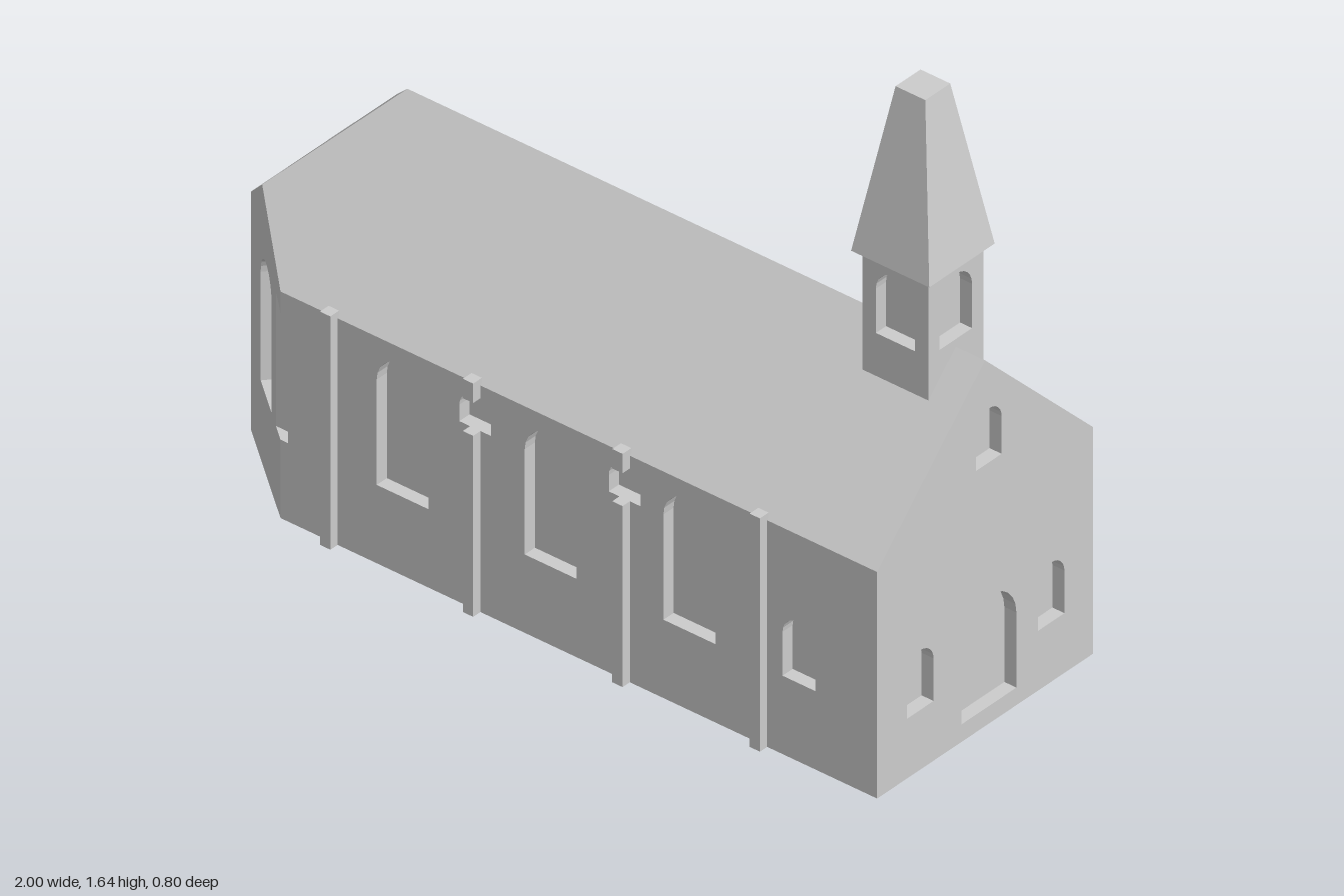
import * as THREE from 'three';
import { mergeGeometries } from 'three/addons/utils/BufferGeometryUtils.js';

const stone = new THREE.MeshStandardMaterial({ color: 0xcccccc, side: THREE.DoubleSide, flatShading: true });
stone.name = 'pale grey stone';

const DEPTH = 0.035;                 // how far niches sink into the walls
const W = 0.373, EAVE = 0.607, RIDGE = 0.98;
const CORNER = -0.725, END_Z = 0.147; // where the angled end begins, half width of the end wall
const V = (x, y, z) => new THREE.Vector3(x, y, z);

function add(group, name, geometry) {
  const mesh = new THREE.Mesh(geometry, stone);
  mesh.name = name;
  group.add(mesh);
  return mesh;
}

// Convex flat polygon as a triangle fan
function polygon(points) {
  const tris = [];
  for (let i = 1; i < points.length - 1; i++) tris.push(points[0], points[i], points[i + 1]);
  const g = new THREE.BufferGeometry().setFromPoints(tris);
  g.computeVertexNormals();
  return g;
}

// Closed band joining two matching loops
function band(a, b) {
  const quads = a.map((p, i) => {
    const j = (i + 1) % a.length;
    return polygon([p, a[j], b[j], b[i]]);
  });
  return mergeGeometries(quads);
}

// Round-headed opening outline: centre, width, bottom, top
function arch(c, w, y0, y1) {
  const r = w / 2, n = 12, pts = [[c - r, y0], [c + r, y0]];
  for (let i = 0; i <= n; i++) {
    const t = (i / n) * Math.PI;
    pts.push([c + r * Math.cos(t), y1 - r + r * Math.sin(t)]);
  }
  return pts;
}

const shapeOf = pts => new THREE.Shape(pts.map(([u, v]) => new THREE.Vector2(u, v)));

// Upright wall with sunken niches; u runs along "dir", v is up
function wall(group, name, origin, dir, outline, niches = []) {
  const normal = V(-dir.z, 0, dir.x);
  const frame = new THREE.Matrix4().makeBasis(dir, V(0, 1, 0), normal).setPosition(origin);
  const face = shapeOf(outline);
  niches.forEach(n => face.holes.push(shapeOf(n)));
  add(group, name, new THREE.ShapeGeometry(face).applyMatrix4(frame));
  niches.forEach(n => {
    add(group, name + 'NicheBack', new THREE.ShapeGeometry(shapeOf(n)).translate(0, 0, -DEPTH).applyMatrix4(frame));
    const at = d => n.map(([u, v]) => V(u, v, d).applyMatrix4(frame));
    add(group, name + 'NicheReveal', band(at(0), at(-DEPTH)));
  });
}

// Square tapered block standing between two heights
function taper(r0, r1, y0, y1) {
  return new THREE.CylinderGeometry(r1 * Math.SQRT2, r0 * Math.SQRT2, y1 - y0, 4)
    .rotateY(Math.PI / 4).translate(0, (y0 + y1) / 2, 0);
}

export function createModel() {
  const model = new THREE.Group();
  model.name = 'chapel';

  const run = CORNER + 1, drop = W - END_Z, len = Math.hypot(run, drop);
  const notchX = CORNER - DEPTH * run / drop;     // where the corner niche meets the angled wall
  const notchU = -DEPTH * len / drop;
  const nc = -0.778, nr = 0.075, ny = 0.492, sill = 0.21;
  const angle = x => Math.acos((x - nc) / nr);
  // Arc of the corner niche between two x positions
  const arc = (xa, xb) => Array.from({ length: 6 }, (_, i) => {
    const t = angle(xa) + (angle(xb) - angle(xa)) * i / 5;
    return [nc + nr * Math.cos(t), ny + nr * Math.sin(t)];
  });
  const sideArc = arc(CORNER, nc + nr), angledArc = arc(notchX, CORNER);

  for (const s of [1, -1]) {
    const side = new THREE.Group();
    side.name = s > 0 ? 'frontSide' : 'backSide';
    model.add(side);
    const flip = pts => pts.map(([u, v]) => [s * u, v]);

    // Long wall with windows, small niches and a niche cut across the corner
    wall(side, 'longWall', V(0, 0, s * W), V(s, 0, 0),
      flip([[CORNER, 0], [1, 0], [1, EAVE], [CORNER, EAVE], ...sideArc, [nc + nr, sill], [CORNER, sill]]),
      [
        ...[-0.372, 0.056, 0.457].map(x => arch(s * x, 0.15, sill, 0.567)),
        arch(s * 0.774, 0.095, sill, 0.375),
        ...[-0.162, 0.27].map(x => arch(s * x, 0.092, 0.485, 0.575)),
      ]);

    // Angled wall
    const peakU = -0.22;
    wall(side, 'angledWall', V(CORNER, 0, s * W), V(s * run / len, 0, drop / len),
      flip([[0, 0], [0, sill], [notchU, sill],
        ...angledArc.map(([x, y]) => [(x - CORNER) * len / run, y]),
        [0, EAVE], [peakU, 0.747], [-len, 0.637], [-len, 0]]),
      [arch(s * -0.172, 0.132, sill, 0.567)]);

    // Corner niche
    const cut = [[notchX, sill], [CORNER, sill], [nc + nr, sill], ...sideArc.slice().reverse(), ...angledArc.slice(0, 5).reverse()];
    const outer = x => Math.min(W, W + (x - CORNER) * drop / run);
    add(side, 'cornerNicheBack', new THREE.ShapeGeometry(shapeOf(cut)).translate(0, 0, s * (W - DEPTH)));
    add(side, 'cornerNicheReveal', band(
      cut.map(([x, y]) => V(x, y, s * outer(x))), cut.map(([x, y]) => V(x, y, s * (W - DEPTH)))));

    // Pilasters; the middle two are interrupted by small niches
    const pilaster = (x, y0, y1) => add(side, 'pilaster',
      new THREE.BoxGeometry(0.03, y1 - y0, 0.03).translate(x, (y0 + y1) / 2, s * 0.383));
    for (const x of [-0.575, 0.667]) pilaster(x, 0, 0.625);
    for (const x of [-0.162, 0.27]) {
      pilaster(x, 0, 0.485);
      pilaster(x, 0.573, 0.625);
    }

    // Roof slope
    const slope = [V(1, RIDGE, 0), V(-0.67, RIDGE, 0), V(-0.895, 0.747, s * 0.233), V(CORNER, EAVE, s * W), V(1, EAVE, s * W)];
    add(side, 'roofSlope', polygon(s > 0 ? slope : slope.reverse()));
  }

  // Hipped roof end, end wall and floor
  add(model, 'roofHip', polygon([V(-0.67, RIDGE, 0), V(-0.895, 0.747, -0.233), V(-1, 0.637, -END_Z),
    V(-1, 0.637, END_Z), V(-0.895, 0.747, 0.233)]));
  wall(model, 'endWall', V(-1, 0, 0), V(0, 0, 1),
    [[-END_Z, 0], [END_Z, 0], [END_Z, 0.637], [-END_Z, 0.637]]);
  add(model, 'floor', polygon([V(1, 0, W), V(CORNER, 0, W), V(-1, 0, END_Z),
    V(-1, 0, -END_Z), V(CORNER, 0, -W), V(1, 0, -W)]));

  // Gable wall with doorway and windows
  wall(model, 'gableWall', V(1, 0, 0), V(0, 0, -1),
    [[-W, 0], [W, 0], [W, EAVE], [0, RIDGE], [-W, EAVE]],
    [arch(0.013, 0.19, 0.047, 0.343), arch(-0.224, 0.092, 0.16, 0.32),
      arch(0.228, 0.092, 0.16, 0.32), arch(0.013, 0.088, 0.7, 0.845)]);

  // Bell tower and spire
  const tower = new THREE.Group();
  tower.name = 'bellTower';
  tower.position.x = 0.82;
  const h = 0.095;
  for (const [x, z] of [[1, 0], [0, 1], [-1, 0], [0, -1]]) {
    wall(tower, 'towerWall', V(x * h, 0, z * h), V(z, 0, -x),
      [[-h, 0.86], [h, 0.86], [h, 1.19], [-h, 1.19]], [arch(0, 0.113, 1.0, 1.175)]);
  }
  add(tower, 'cornice', taper(h, 0.113, 1.19, 1.205));
  add(tower, 'spire', taper(0.113, 0.043, 1.205, 1.64));
  model.add(tower);

  return model;
}
